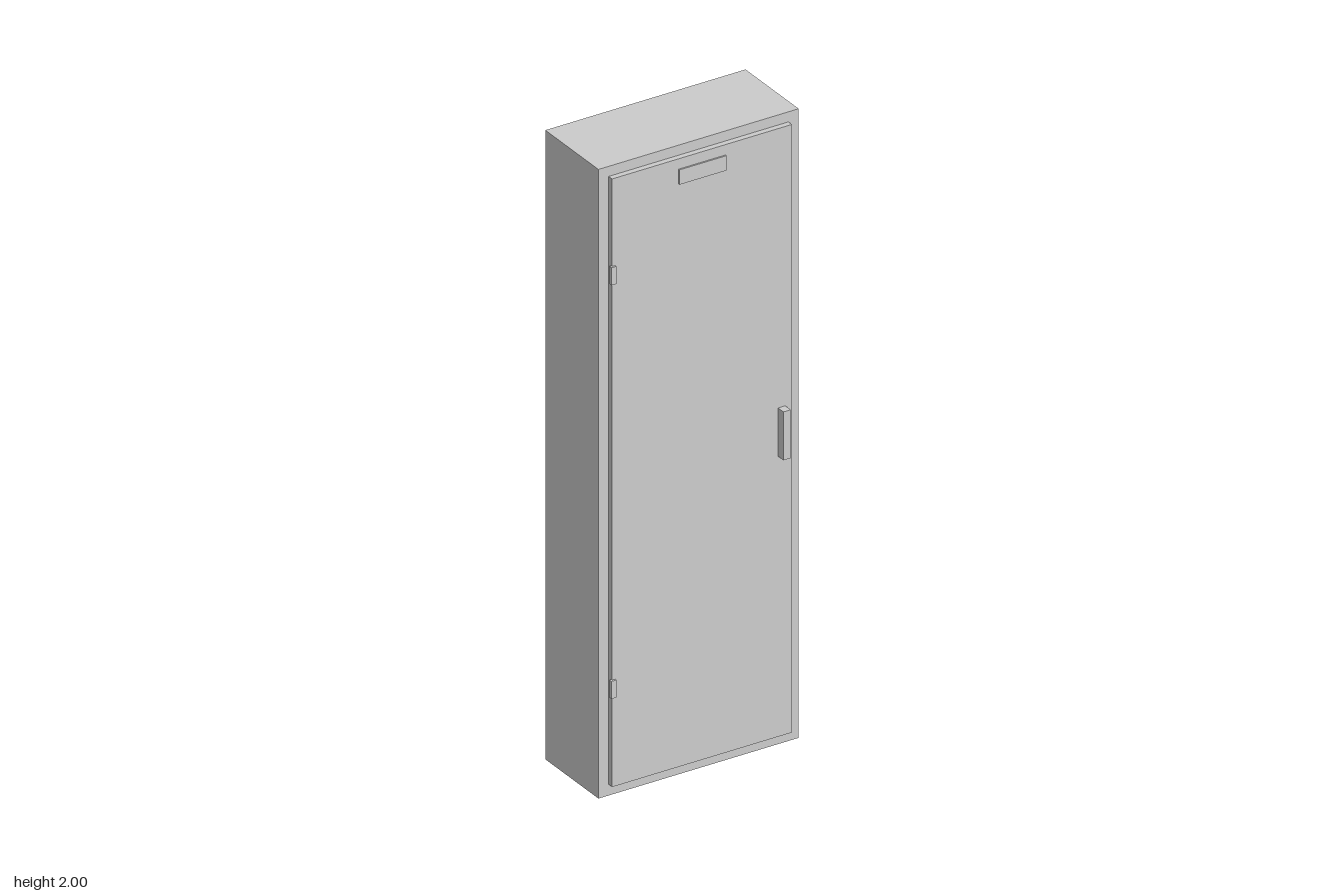
import * as THREE from 'three';

export function createModel() {
  const model = new THREE.Group();
  model.name = 'wallCabinet';
  const material = new THREE.MeshStandardMaterial({ color: 0xcccccc });

  // Box given by its lower and upper corners
  function addBox(name, [x0, y0, z0], [x1, y1, z1]) {
    const mesh = new THREE.Mesh(new THREE.BoxGeometry(x1 - x0, y1 - y0, z1 - z0), material);
    mesh.position.set((x0 + x1) / 2, (y0 + y1) / 2, (z0 + z1) / 2);
    mesh.name = name;
    model.add(mesh);
  }

  // Cabinet body and the raised door on its front
  addBox('body', [-0.333, 0, -0.162], [0.333, 2, 0.114]);
  addBox('door', [-0.299, 0.035, 0.114], [0.299, 1.968, 0.132]);

  // Handle and the thin label plate near the top
  addBox('handle', [0.253, 0.926, 0.132], [0.277, 1.08, 0.16]);
  addBox('labelPlate', [-0.078, 1.888, 0.132], [0.078, 1.935, 0.137]);

  // Hinges along the edge opposite the handle
  for (const [name, y] of [['lowerHinge', 0.347], ['upperHinge', 1.662]]) {
    addBox(name, [-0.305, y - 0.028, 0.127], [-0.289, y + 0.028, 0.138]);
  }

  return model;
}
